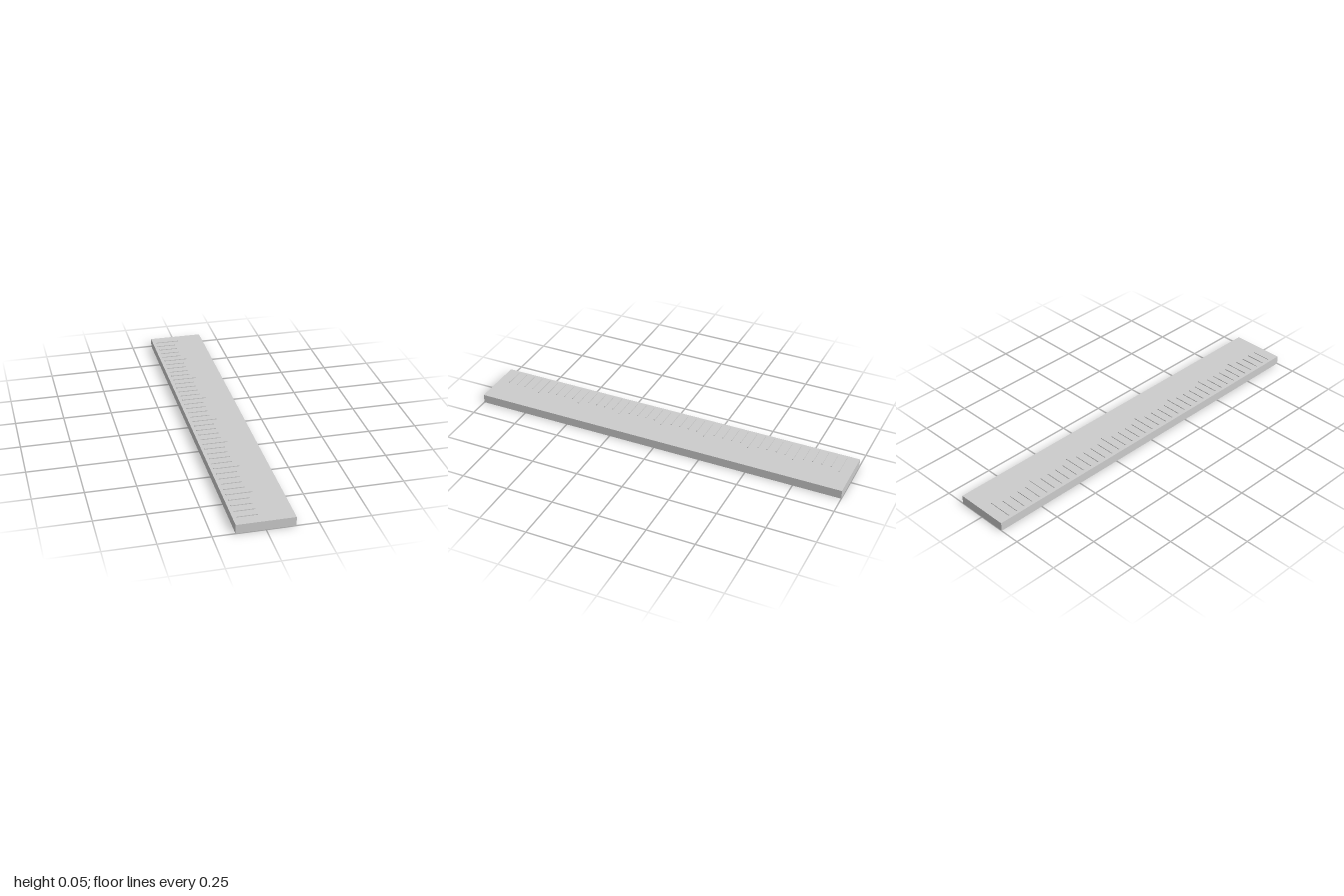
import * as THREE from 'three';

export function createModel() {
  const group = new THREE.Group();
  const material = new THREE.MeshStandardMaterial({ color: 0xcccccc, flatShading: true });

  const addBox = (name, w, h, d, x, y, z) => {
    const mesh = new THREE.Mesh(new THREE.BoxGeometry(w, h, d), material);
    mesh.name = name;
    mesh.position.set(x, y, z);
    group.add(mesh);
  };

  // Flat ruler body
  const height = 0.046;
  addBox('rulerBody', 0.284, height, 2, 0, height / 2, 0);

  // Raised graduation marks along the right edge, every fifth one longer
  const count = 40, first = -0.937, spacing = 0.0481;
  const edge = -0.125, thickness = 0.004;
  for (let i = 0; i < count; i++) {
    const major = i % 5 === 0;
    const length = major ? 0.127 : 0.102;
    addBox(major ? 'majorMark' : 'minorMark', length, thickness, 0.005,
      edge + length / 2, height + thickness / 2, first + i * spacing);
  }

  return group;
}
